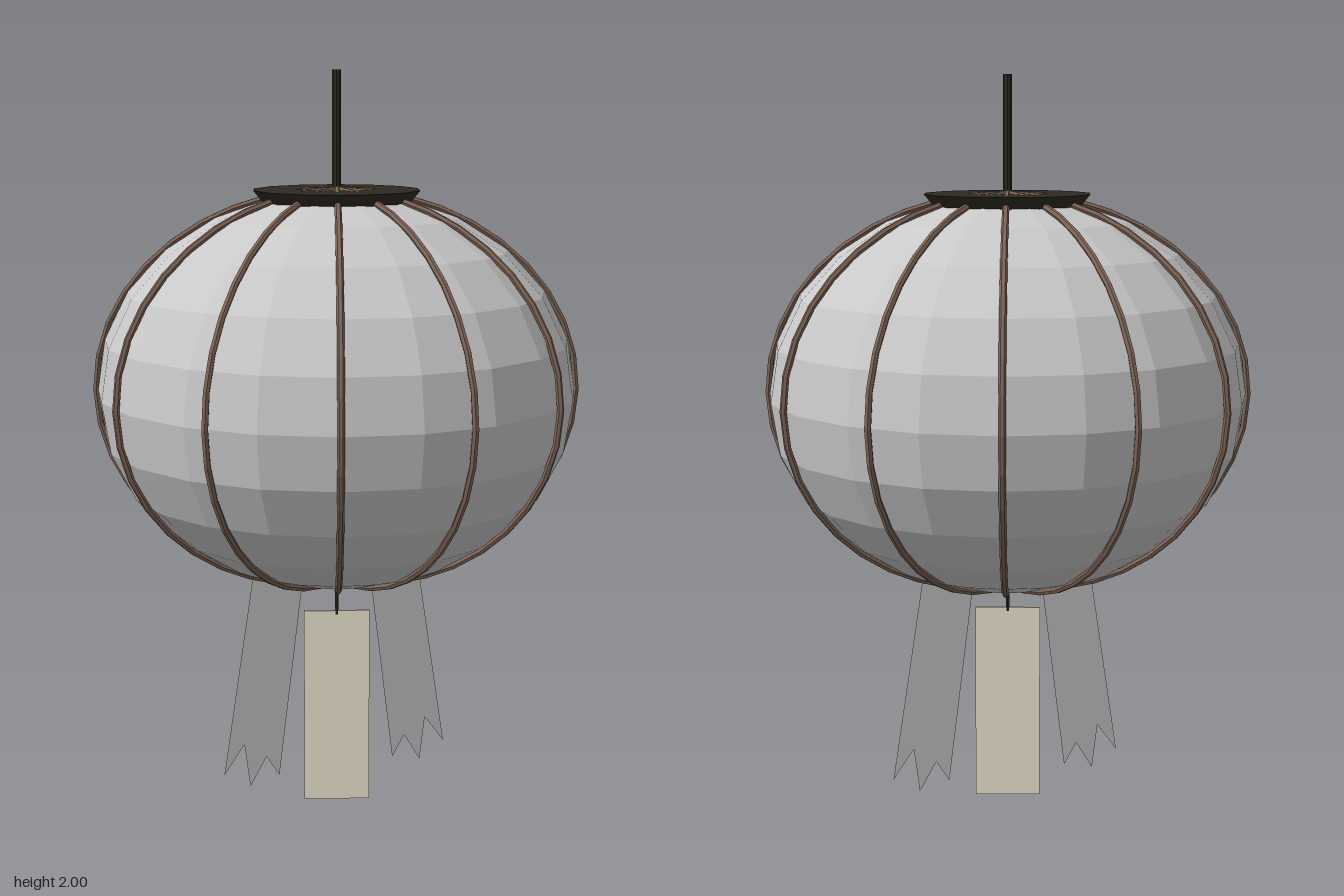
import * as THREE from 'three';

const CENTER_Y = 1.16;

function material(name, color) {
  const m = new THREE.MeshStandardMaterial({ color, flatShading: true });
  m.name = name;
  return m;
}

export function createModel() {
  const model = new THREE.Group();
  model.name = 'paperLantern';

  const paper = material('greyPaper', 0xc9c9c9);
  const ribbonCloth = material('greyRibbon', 0xc9c9c9);
  ribbonCloth.side = THREE.DoubleSide;
  const bamboo = material('brownBamboo', 0x7d6455);
  const darkWood = material('darkWood', 0x2c2a20);
  const tagPaper = material('creamTag', 0xe6dfca);

  function add(name, geometry, mat, x = 0, y = 0, z = 0, parent = model) {
    const mesh = new THREE.Mesh(geometry, mat);
    mesh.name = name;
    mesh.position.set(x, y, z);
    parent.add(mesh);
    return mesh;
  }

  // Faceted, slightly squashed paper shade
  const shade = new THREE.SphereGeometry(1, 20, 12).scale(0.64, 0.53, 0.64);
  add('shade', shade, paper, 0, CENTER_Y, 0);

  // Twelve bamboo ribs running from pole to pole
  const arc = [];
  for (let i = 0; i <= 18; i++) {
    const a = -Math.PI / 2 + (Math.PI * i) / 18;
    arc.push(new THREE.Vector3(0.645 * Math.cos(a), 0.533 * Math.sin(a), 0));
  }
  const ribShape = new THREE.TubeGeometry(new THREE.CatmullRomCurve3(arc), 20, 0.009, 6);
  const ribs = new THREE.Group();
  ribs.name = 'ribs';
  model.add(ribs);
  for (let i = 0; i < 12; i++) {
    add('rib', ribShape, bamboo, 0, CENTER_Y, 0, ribs).rotation.y = (i * Math.PI) / 6;
  }

  // Top cap and hanging rod
  add('topCap', new THREE.CylinderGeometry(0.223, 0.19, 0.04, 14), darkWood, 0, 1.672, 0);
  add('hangingRod', new THREE.CylinderGeometry(0.012, 0.012, 0.33, 8), darkWood, 0, 1.835, 0);

  // Paper tag on its string
  add('tagString', new THREE.CylinderGeometry(0.006, 0.006, 0.12, 6), darkWood, 0, 0.6, 0.04);
  add('tag', new THREE.BoxGeometry(0.18, 0.55, 0.008), tagPaper, 0, 0.275, 0.04);

  // Two notched ribbons, each a half turn from the other
  const yaw = Math.atan(0.4);
  const outline = [
    [0.09, 0.66], [0.16, 0.08], [0.195, 0.14], [0.24, 0.06],
    [0.255, 0.185], [0.31, 0.105], [0.226, 0.67],
  ].map(([x, y]) => new THREE.Vector2(x / Math.cos(yaw), y));
  const ribbonShape = new THREE.ShapeGeometry(new THREE.Shape(outline));
  add('leftRibbon', ribbonShape, ribbonCloth).rotation.y = yaw;
  add('rightRibbon', ribbonShape, ribbonCloth).rotation.y = yaw + Math.PI;

  return model;
}
